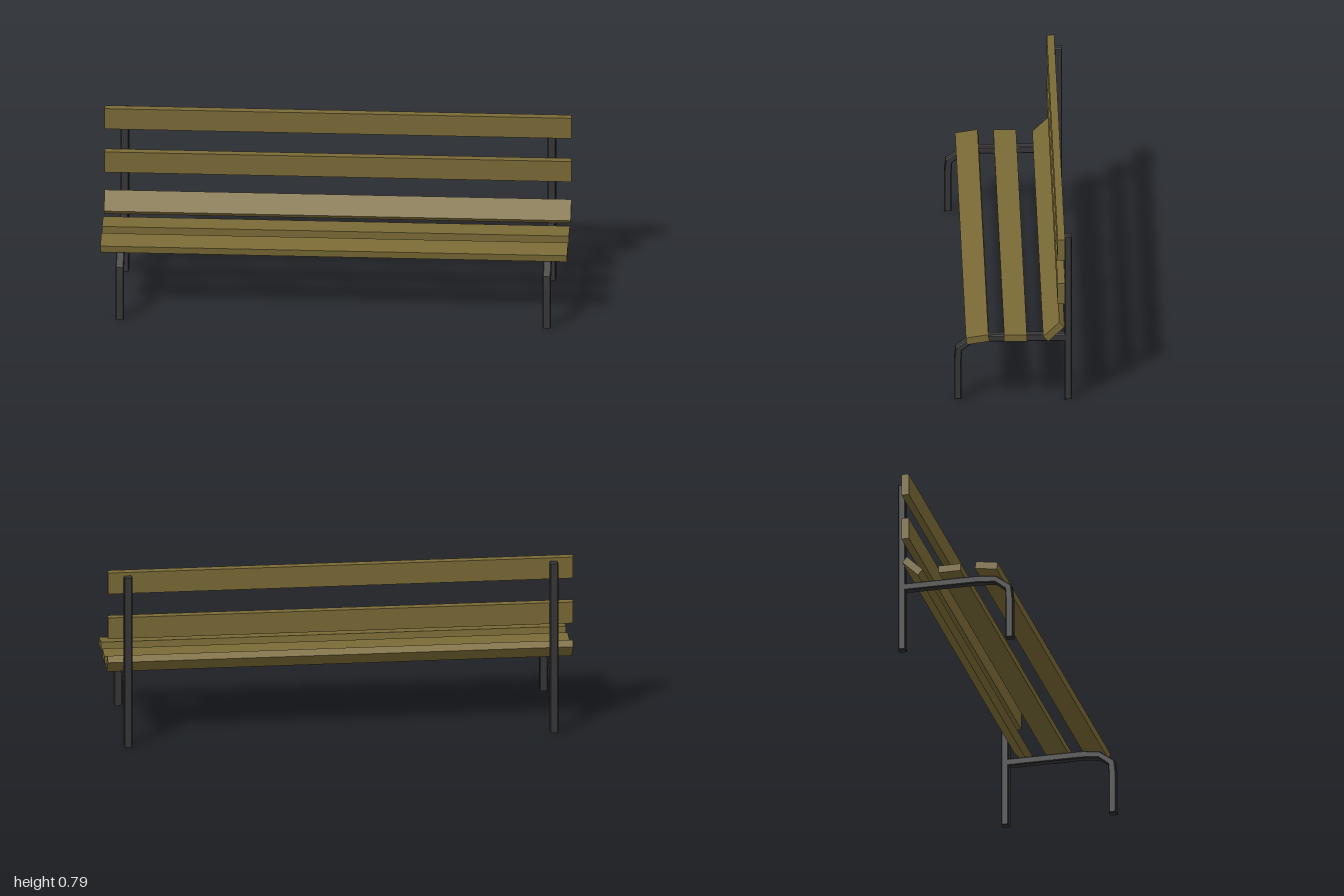
import * as THREE from 'three';

export function createModel() {
  const wood = new THREE.MeshStandardMaterial({ color: 0x7a6a36 });
  wood.name = 'wood';
  const metal = new THREE.MeshStandardMaterial({ color: 0x363638 });
  metal.name = 'darkMetal';

  const bench = new THREE.Group();
  bench.name = 'bench';

  // Bar with chamfered edges: side outline as [z, y] points, given thickness in x
  function sideBar(points, thickness) {
    const bevel = 0.004;
    const shape = new THREE.Shape(points.map(([z, y]) => new THREE.Vector2(z, y)));
    const geometry = new THREE.ExtrudeGeometry(shape, {
      depth: thickness - 2 * bevel, bevelEnabled: true, bevelSegments: 1,
      bevelSize: bevel, bevelThickness: bevel, bevelOffset: -bevel,
    });
    geometry.translate(0, 0, bevel - thickness / 2);
    geometry.rotateY(-Math.PI / 2);
    return geometry;
  }

  // Upright that carries the backrest
  const postGeometry = sideBar([[-0.253, 0], [-0.221, 0], [-0.221, 0.778], [-0.253, 0.778]], 0.036);

  // Front leg bending into the seat rail
  const railGeometry = sideBar([
    [0.221, 0.006], [0.253, 0.006], [0.253, 0.19], [0.246, 0.252], [0.181, 0.3],
    [0.103, 0.311], [-0.23, 0.311], [-0.23, 0.279], [0.1, 0.279], [0.174, 0.272],
    [0.218, 0.237], [0.221, 0.186],
  ], 0.036);

  for (const [side, x] of [['left', 0.915], ['right', -0.915]]) {
    const frame = new THREE.Group();
    frame.name = side + 'Frame';
    frame.position.x = x;
    const post = new THREE.Mesh(postGeometry, metal);
    post.name = side + 'BackPost';
    const rail = new THREE.Mesh(railGeometry, metal);
    rail.name = side + 'FrontLegAndRail';
    frame.add(post, rail);
    bench.add(frame);
  }

  // Slats: name, y, z, tilt in degrees (positive raises the rear edge)
  const slatGeometry = new THREE.BoxGeometry(2, 0.032, 0.097);
  const slats = [
    ['frontSeatSlat', 0.323, 0.153, 8.7],
    ['middleSeatSlat', 0.328, -0.009, 0],
    ['rearSeatSlat', 0.357, -0.173, 44.5],
    ['lowerBackSlat', 0.538, -0.205, 90],
    ['upperBackSlat', 0.745, -0.205, 90],
  ];
  for (const [name, y, z, tilt] of slats) {
    const slat = new THREE.Mesh(slatGeometry, wood);
    slat.name = name;
    slat.position.set(0, y, z);
    slat.rotation.x = THREE.MathUtils.degToRad(tilt);
    bench.add(slat);
  }

  return bench;
}
